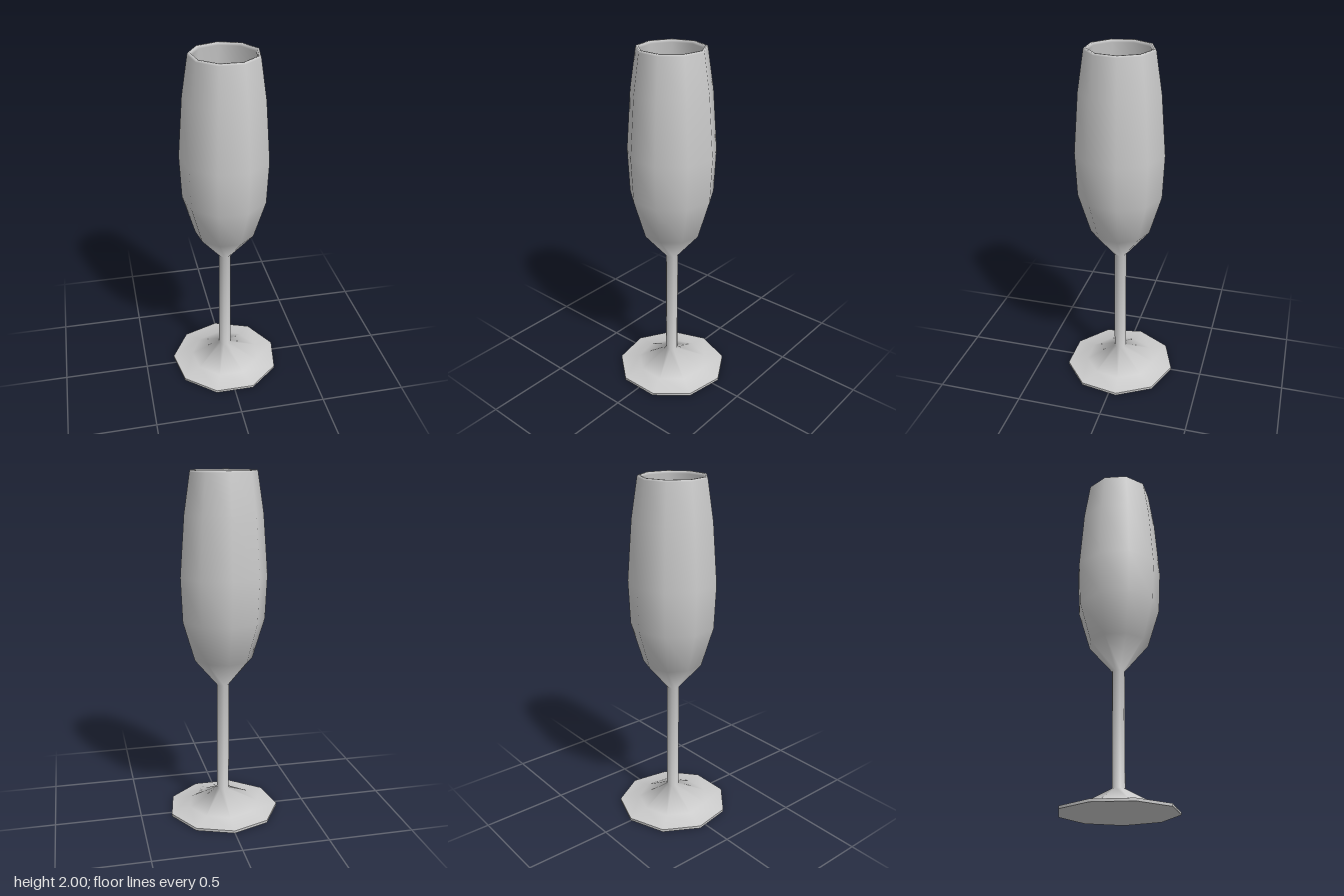
import * as THREE from 'three';

const SIDES = 9;

// Outer and inner outline, from the foot's edge up over the rim and down inside: [radius, y]
const PROFILE = [
  [0.327, 0.015], [0.208, 0.035], [0.036, 0.13],                      // foot
  [0.036, 0.79],                                                      // stem
  [0.171, 0.95], [0.24, 1.18], [0.251, 1.43], [0.225, 1.77],          // bowl outside
  [0.191, 1.99], [0.187, 2.0], [0.176, 2.0], [0.171, 1.985],          // rim
  [0.205, 1.77], [0.231, 1.43], [0.22, 1.19], [0.152, 0.97], [0, 0.83], // bowl inside
];

function lathe(points) {
  return new THREE.LatheGeometry(points.map(([r, y]) => new THREE.Vector2(r, y)), SIDES, Math.PI, Math.PI * 2);
}

// Keeps the rings between two profile points, with the normals of the whole outline
function band(whole, from, to) {
  const geometry = whole.clone();
  const count = PROFILE.length;
  const index = [];
  for (let i = 0; i < SIDES; i++) {
    for (let j = from; j < to; j++) {
      const a = i * count + j;
      const b = a + count;
      index.push(a, b, a + 1, b + 1, a + 1, b);
    }
  }
  geometry.setIndex(index);
  return geometry;
}

export function createModel() {
  const group = new THREE.Group();
  group.name = 'champagneFlute';
  const material = new THREE.MeshStandardMaterial({ color: 0xcccccc, side: THREE.DoubleSide });
  const add = (name, geometry) => {
    const mesh = new THREE.Mesh(geometry, material);
    mesh.name = name;
    mesh.position.z = 0.01; // centres the nine-sided outline
    group.add(mesh);
  };

  // Foot, stem and bowl share one smooth outline
  const whole = lathe(PROFILE);
  add('foot', band(whole, 0, 2));
  add('stem', band(whole, 2, 3));
  add('bowl', band(whole, 3, PROFILE.length - 1));

  // Thin edge and flat underside of the foot
  add('footEdge', lathe([[0.327, 0], [0.327, 0.015]]));
  add('footUnderside', lathe([[0, 0], [0.327, 0]]));

  return group;
}
